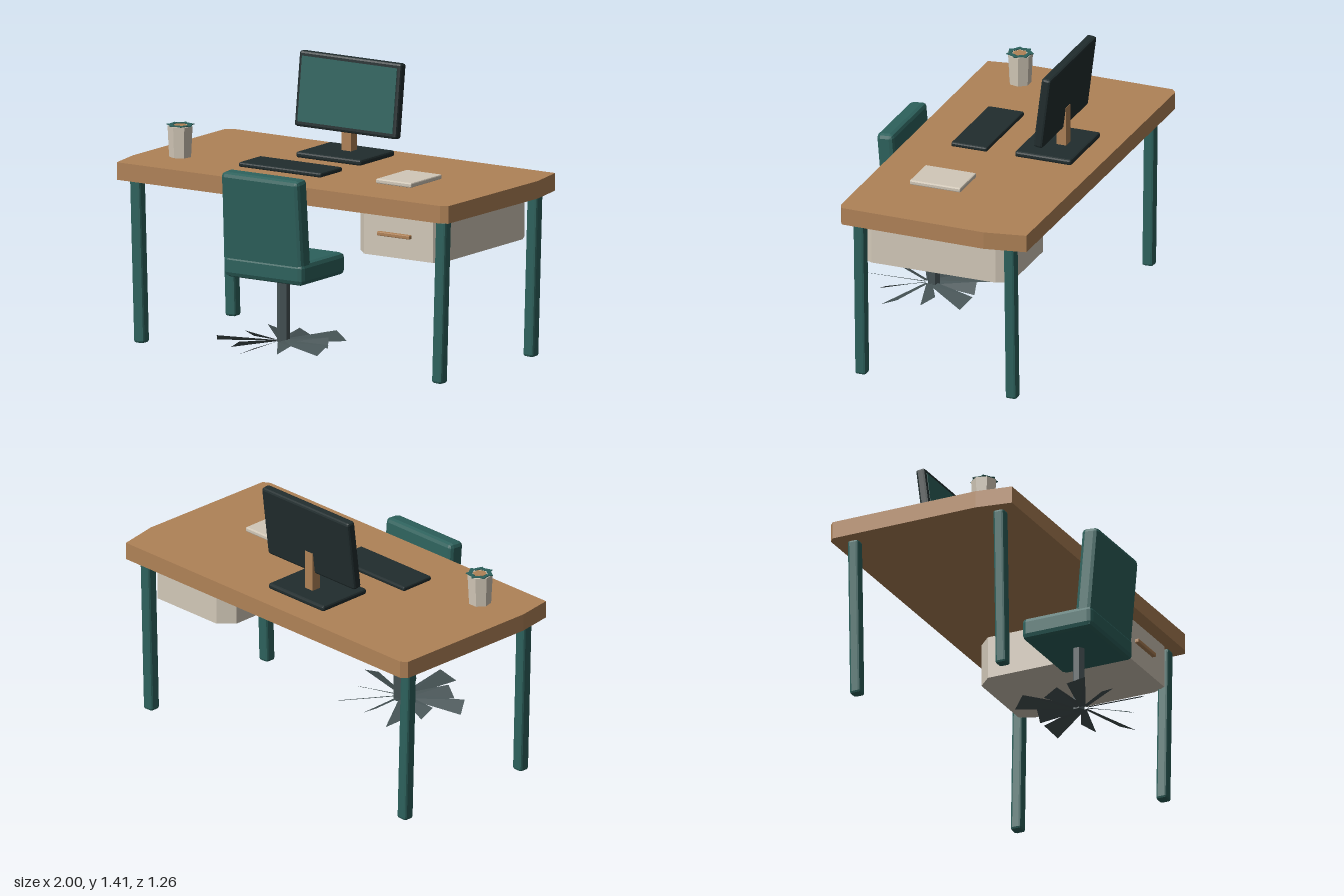
import * as THREE from 'three';
import { RoundedBoxGeometry } from 'three/addons/geometries/RoundedBoxGeometry.js';

const paint = (name, color, side = THREE.FrontSide) =>
  new THREE.MeshStandardMaterial({ name, color, side, flatShading: true });

export function createModel() {
  const wood = paint('wood', 0xaf8257);
  const teal = paint('teal', 0x2d615c);
  const cream = paint('cream', 0xd2c8b8);
  const charcoal = paint('charcoal', 0x212d2e);
  const metal = paint('grey metal', 0x465355, THREE.DoubleSide);

  const model = new THREE.Group();
  model.name = 'deskWithChair';

  function add(name, geometry, material, x = 0, y = 0, z = 0, parent = model) {
    const mesh = new THREE.Mesh(geometry, material);
    mesh.name = name;
    mesh.position.set(x, y, z);
    parent.add(mesh);
    return mesh;
  }

  // Box with chamfered edges
  const block = (w, h, d, bevel) => new RoundedBoxGeometry(w, h, d, 1, bevel);

  // Upright slab from a plan outline of [x, z] points
  function slab(points, height) {
    const shape = new THREE.Shape(points.map(([x, z]) => new THREE.Vector2(x, -z)));
    const geometry = new THREE.ExtrudeGeometry(shape, { depth: height, bevelEnabled: false });
    return geometry.rotateX(-Math.PI / 2);
  }

  // Desk top with unevenly clipped corners
  add('deskTop', slab([
    [-0.97, 0.365], [0.95, 0.36], [0.985, 0.34], [1, -0.42],
    [0.96, -0.63], [-0.96, -0.635], [-0.99, -0.61], [-1, 0.18],
  ], 0.088), wood, 0, 0.832, 0);

  // Splayed legs
  for (const side of [-1, 1]) {
    for (const z of [0.272, -0.527]) {
      const leg = add('deskLeg', block(0.06, 0.82, 0.058, 0.012), teal, side * 0.898, 0.42, z);
      leg.rotation.z = -side * 0.03;
    }
  }

  // Drawer unit with clipped upright corners, and its pull
  const [x0, x1, z0, z1, c] = [0.38, 0.895, -0.51, 0.29, 0.07];
  add('drawer', slab([
    [x0 + c, z1], [x1 - c / 2, z1], [x1, z1 - c], [x1, z0 + c],
    [x1 - c / 2, z0], [x0 + c, z0], [x0, z0 + c], [x0, z1 - c],
  ], 0.22), cream, 0, 0.612, 0);
  add('drawerHandle', block(0.195, 0.02, 0.025, 0.004), wood, 0.635, 0.727, 0.298);

  // Monitor, leaning back on its stand
  const monitor = new THREE.Group();
  monitor.name = 'monitor';
  monitor.position.set(-0.1025, 1.23, -0.4);
  monitor.rotation.x = -0.125;
  model.add(monitor);
  add('monitorCase', block(0.605, 0.375, 0.05, 0.012), charcoal, 0, 0, 0, monitor);
  add('screen', new THREE.BoxGeometry(0.565, 0.325, 0.006), teal, 0, 0, 0.0245, monitor);
  add('monitorPost', new THREE.BoxGeometry(0.055, 0.21, 0.052), wood, -0.1025, 1.05, -0.392);
  add('monitorFoot', block(0.385, 0.03, 0.3, 0.01), charcoal, -0.105, 0.939, -0.36);

  // Things lying on the desk
  add('keyboard', block(0.49, 0.024, 0.19, 0.008), charcoal, -0.162, 0.934, 0.035);
  add('notepad', block(0.21, 0.024, 0.27, 0.006), cream, 0.515, 0.945, -0.005);

  // Cup with a jagged rim and a drink inside
  const cup = new THREE.Group();
  cup.name = 'cup';
  cup.position.set(-0.765, 0.93, 0.11);
  model.add(cup);
  add('cupBody', new THREE.CylinderGeometry(0.064, 0.056, 0.155, 7), cream, 0, 0.0775, 0, cup);
  add('drink', new THREE.CylinderGeometry(0.036, 0.036, 0.003, 6), wood, 0, 0.1565, 0, cup);
  for (let i = 0; i < 7; i++) {
    const angle = (i / 7) * Math.PI * 2;
    const chip = add('rimChip', new THREE.BoxGeometry(0.05, 0.004, 0.02), teal,
      Math.sin(angle) * 0.049, 0.159, Math.cos(angle) * 0.049, cup);
    chip.rotation.y = angle + 0.35;
  }

  // Chair: cushion, leaning back, post and splayed base
  const chair = new THREE.Group();
  chair.name = 'chair';
  chair.position.set(-0.043, 0, 0.27);
  model.add(chair);
  add('seat', block(0.47, 0.113, 0.385, 0.025), teal, 0, 0.498, -0.008, chair);
  const back = add('chairBack', block(0.46, 0.46, 0.09, 0.022), teal, 0, 0.745, 0.154, chair);
  back.rotation.x = 0.085;
  add('chairPost', new THREE.CylinderGeometry(0.032, 0.032, 0.34, 6), metal, 0, 0.28, 0, chair);

  // Twisted blade: narrow at the hub, flaring towards a slanted end
  function blade(reach, width) {
    const geometry = new THREE.BufferGeometry();
    geometry.setAttribute('position', new THREE.Float32BufferAttribute([
      -0.015, 0.115, 0.02, 0.015, 0.125, 0.02,
      width, 0.14, reach * 0.93, -width * 0.6, 0.1, reach,
    ], 3));
    geometry.setIndex([0, 2, 1, 0, 3, 2]);
    geometry.computeVertexNormals();
    return geometry;
  }
  const base = new THREE.Group();
  base.name = 'chairBase';
  base.position.z = 0.025;
  chair.add(base);
  for (let i = 0; i < 10; i++) {
    const long = i % 2 === 0;
    const spoke = add('baseBlade', blade(long ? 0.335 : 0.25, long ? 0.055 : 0.045), metal, 0, 0, 0, base);
    spoke.rotation.y = (i / 10) * Math.PI * 2;
  }

  return model;
}
